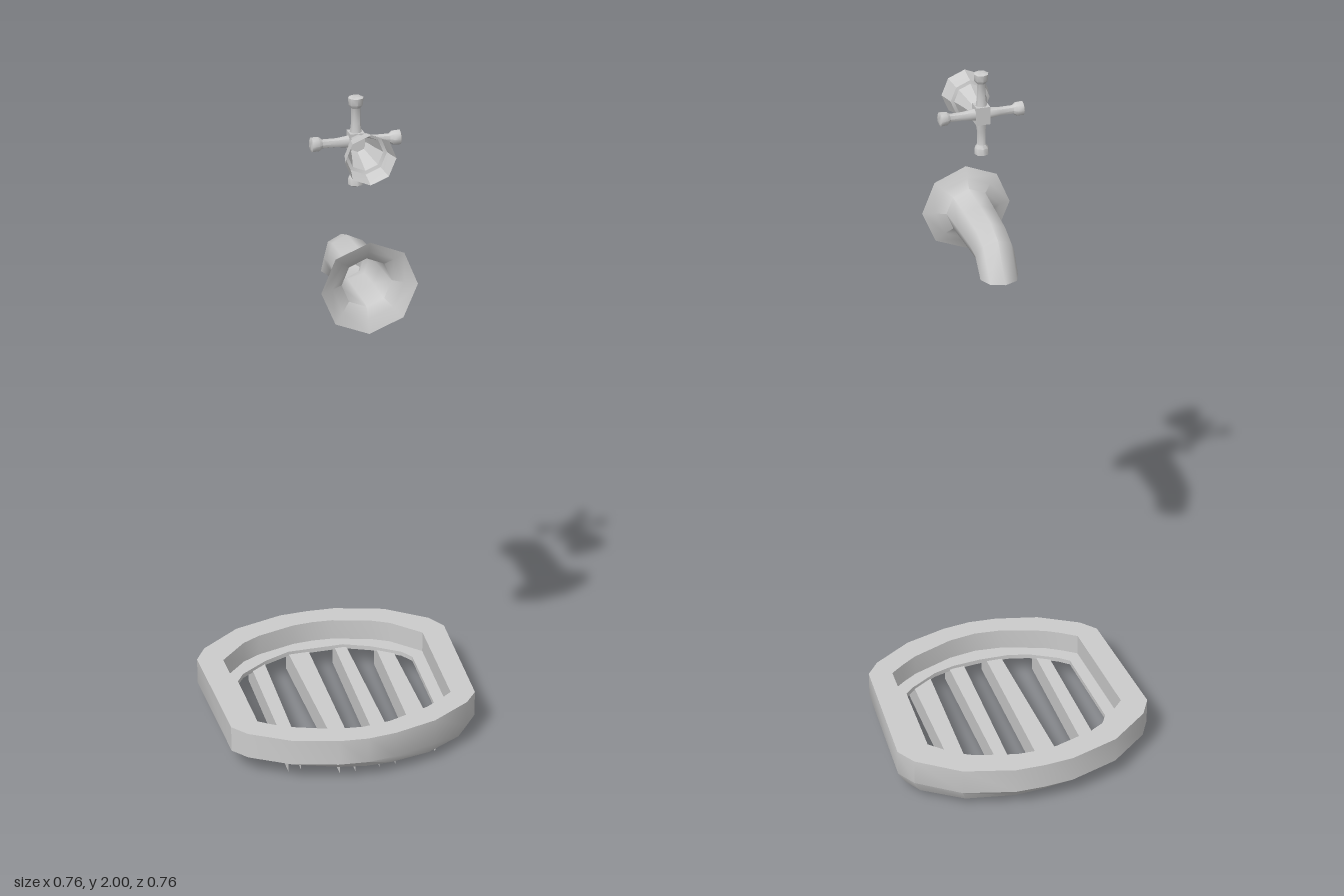
import * as THREE from 'three';
import { toCreasedNormals } from 'three/addons/utils/BufferGeometryUtils.js';

const material = new THREE.MeshStandardMaterial({ color: 0xcccccc, side: THREE.DoubleSide });

// Skin a list of equal-length point loops; each point is [x, y, z].
function loft(loops, { closed = true, cap = false, crease = 0.6 } = {}) {
  const n = loops[0].length, index = [];
  const points = loops.flat();
  for (let i = 0; i < loops.length - 1; i++) {
    for (let j = 0; j < (closed ? n : n - 1); j++) {
      const a = i * n + j, b = i * n + (j + 1) % n;
      index.push(a, b, a + n, b, b + n, a + n);
    }
  }
  if (cap) {
    const base = (loops.length - 1) * n;
    for (let j = 1; j < n - 1; j++) index.push(base, base + j, base + j + 1);
  }
  const geometry = new THREE.BufferGeometry();
  geometry.setAttribute('position', new THREE.Float32BufferAttribute(points.flat(), 3));
  geometry.setIndex(index);
  return toCreasedNormals(geometry, crease);
}

function add(parent, name, geometry) {
  const mesh = new THREE.Mesh(geometry, material);
  mesh.name = name;
  parent.add(mesh);
  return mesh;
}

// Basin outlines: half profiles [x, z] from back centre to front centre.
const outer = [[0, -0.381], [0.085, -0.377], [0.23, -0.335], [0.347, -0.25], [0.38, -0.195],
  [0.36, 0.18], [0.322, 0.225], [0.207, 0.292], [0.083, 0.325], [0, 0.333]];
const step = [[0, -0.314], [0.06, -0.31], [0.174, -0.278], [0.227, -0.25], [0.306, -0.172],
  [0.292, 0.162], [0.25, 0.192], [0.205, 0.219], [0.083, 0.262], [0, 0.272]];
const hole = [[0, -0.27], [0.085, -0.27], [0.164, -0.237], [0.245, -0.183], [0.268, -0.148],
  [0.258, 0.134], [0.23, 0.158], [0.15, 0.203], [0.087, 0.22], [0, 0.225]];

// Mirror a half outline into a full loop, at a height given by a function of x.
function outline(half, height, scale = 1) {
  const mirrored = half.slice(1, -1).reverse().map(([x, z]) => [-x, z]);
  return [...half, ...mirrored].map(([x, z]) => [x * scale, height(x), z * scale]);
}

function makeBasin() {
  const group = new THREE.Group();
  group.name = 'basin';
  const flat = (y) => () => y;
  // The underside drops towards +x.
  const under = (x) => THREE.MathUtils.clamp(0.04 - x * 0.06, 0.022, 0.062);
  add(group, 'basinRim', loft([
    outline(hole, flat(0.066)),
    outline(hole, flat(0.08)),
    outline(step, flat(0.08)),
    outline(step, flat(0.145)),
    outline(outer, flat(0.145)),
    outline(outer, flat(0.066)),
    outline(outer, under, 0.94),
    outline(hole, flat(0.066)),
  ]));

  // Grate bars: open channels [left back, right back, left front, right front, z back, z front].
  const bars = [
    [-0.21, -0.166, -0.207, -0.17, -0.27, 0.23],
    [-0.085, -0.022, -0.067, -0.022, -0.305, 0.275],
    [0.06, 0.095, 0.05, 0.098, -0.3, 0.27],
    [0.18, 0.225, 0.164, 0.225, -0.26, 0.24],
  ];
  for (const [lb, rb, lf, rf, zb, zf] of bars) {
    const section = (l, r, z) => [[l, 0, z], [l, 0.07, z], [r, 0.07, z], [r, 0, z]];
    add(group, 'grateBar', loft([section(lb, rb, zb), section(lf, rf, zf)], { closed: false }));
  }
  return group;
}

// Spout: eight-sided sections [top z, top y, bottom z, bottom y, half width].
function makeSpout() {
  const sections = [
    [0.375, 1.662, 0.375, 1.41, 0.127],
    [0.362, 1.632, 0.362, 1.445, 0.094],
    [0.345, 1.607, 0.345, 1.473, 0.066],
    [0.25, 1.602, 0.25, 1.474, 0.061],
    [0.15, 1.594, 0.175, 1.473, 0.057],
    [0.09, 1.573, 0.148, 1.47, 0.055],
    [0.025, 1.472, 0.135, 1.465, 0.053],
  ];
  const loops = sections.map(([tz, ty, bz, by, w]) =>
    Array.from({ length: 8 }, (_, i) => {
      const a = i * Math.PI / 4, t = (1 - Math.cos(a)) / 2;
      return [-0.016 - w * Math.sin(a), ty + (by - ty) * t, tz + (bz - tz) * t];
    }));
  const group = new THREE.Group();
  group.name = 'spout';
  add(group, 'spoutPipe', loft(loops, { cap: true, crease: 1 }));
  return group;
}

function makeHandle() {
  const group = new THREE.Group();
  group.name = 'handle';
  group.position.set(-0.016, 1.882, 0.232);

  // Flared stem, open towards the wall.
  const profile = [[0.018, 0.01], [0.026, 0.025], [0.032, 0.05], [0.046, 0.094],
    [0.055, 0.097], [0.058, 0.115], [0.066, 0.145]].map(([r, z]) => new THREE.Vector2(r, z));
  const stem = add(group, 'stem', toCreasedNormals(new THREE.LatheGeometry(profile, 8), 0.7));
  stem.rotation.x = Math.PI / 2;

  add(group, 'hub', new THREE.BoxGeometry(0.038, 0.05, 0.038));

  // Four arms with flared ends.
  const arm = [[0.017, 0.015], [0.012, 0.05], [0.012, 0.088], [0.019, 0.097],
    [0.02, 0.115], [0.014, 0.118], [0, 0.118]].map(([r, y]) => new THREE.Vector2(r, y));
  for (let i = 0; i < 4; i++) {
    const mesh = add(group, 'arm', toCreasedNormals(new THREE.LatheGeometry(arm, 8), 0.8));
    mesh.rotation.z = i * Math.PI / 2;
  }
  return group;
}

export function createModel() {
  const model = new THREE.Group();
  model.name = 'fountainFittings';
  model.add(makeBasin(), makeSpout(), makeHandle());
  return model;
}
